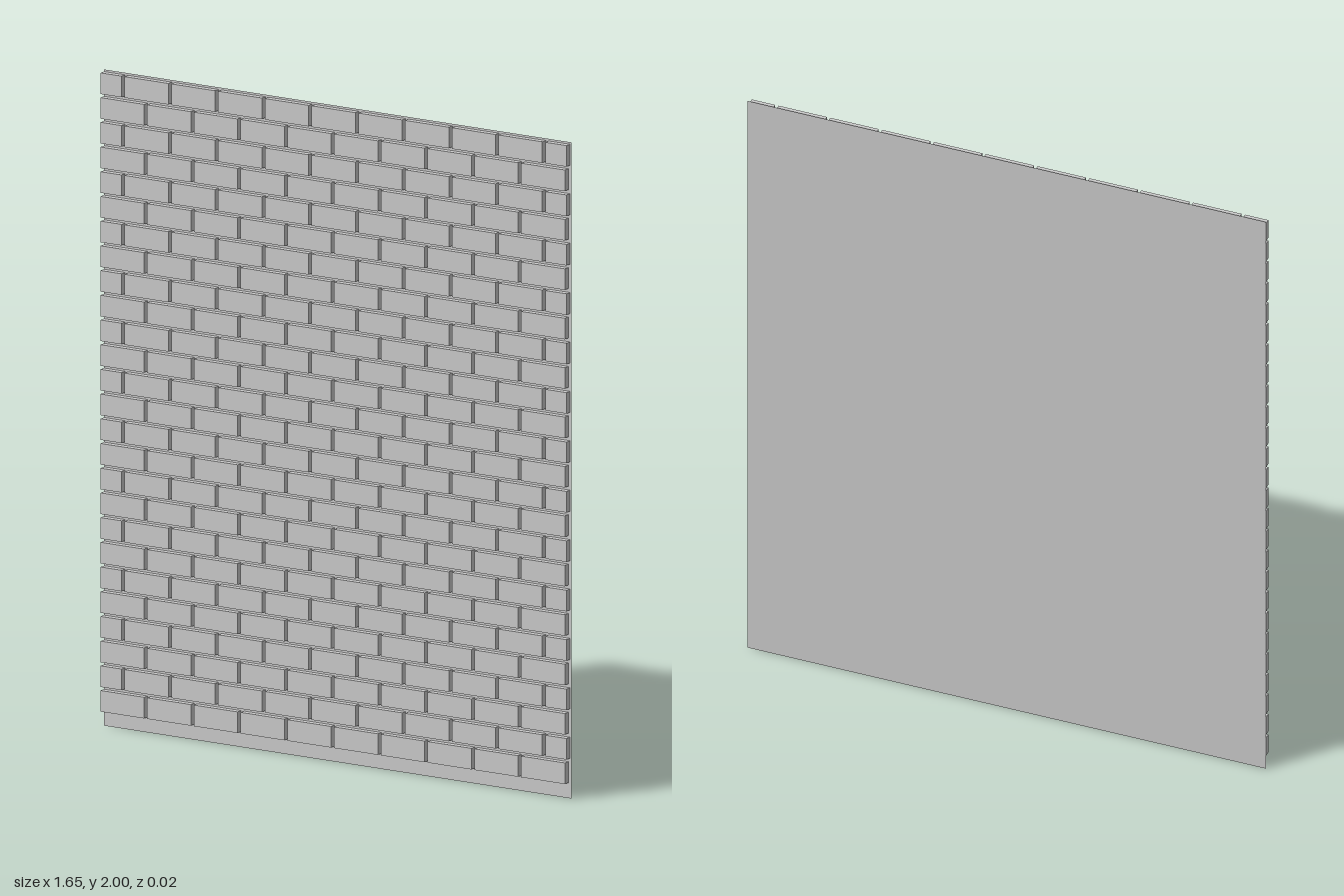
import * as THREE from 'three';
import { mergeGeometries } from 'three/addons/utils/BufferGeometryUtils.js';

const WIDTH = 1.65, HEIGHT = 2, DEPTH = 0.02;
const ROWS = 26, COLUMNS = 10;
const PITCH_X = WIDTH / COLUMNS, PITCH_Y = 0.0753, GAP = 0.011;
const BRICK_W = PITCH_X - GAP, BRICK_H = PITCH_Y - GAP;
const HALF_W = (PITCH_X - 2 * GAP) / 2 + 0.003;
const FIRST_ROW_Y = 0.079;

const material = new THREE.MeshStandardMaterial({ color: 0xcccccc, flatShading: true });

// One brick from its left end, sitting just in front of the mortar sheet
function brick(x, y, width) {
  const thickness = DEPTH - 0.0004;
  return new THREE.BoxGeometry(width, BRICK_H, thickness)
    .translate(x + width / 2, y, 0.0002);
}

// One course: full bricks, or full bricks between two half bricks
function courseGeometry(y, offset) {
  const left = -WIDTH / 2;
  const bricks = [];
  if (!offset) {
    for (let i = 0; i < COLUMNS; i++) bricks.push(brick(left + i * PITCH_X, y, BRICK_W));
  } else {
    const start = left + HALF_W + GAP;
    bricks.push(brick(left, y, HALF_W));
    for (let i = 0; i < COLUMNS - 1; i++) bricks.push(brick(start + i * PITCH_X, y, BRICK_W));
    bricks.push(brick(start + (COLUMNS - 1) * PITCH_X, y, HALF_W));
  }
  return mergeGeometries(bricks);
}

export function createModel() {
  const wall = new THREE.Group();
  wall.name = 'brickWall';

  // Thin mortar sheet behind the bricks
  const sheetMaterial = material.clone();
  sheetMaterial.side = THREE.DoubleSide;
  const mortar = new THREE.Mesh(new THREE.PlaneGeometry(WIDTH, HEIGHT), sheetMaterial);
  mortar.name = 'mortarSheet';
  mortar.position.set(0, HEIGHT / 2, -DEPTH / 2);
  wall.add(mortar);

  // Running bond: every other course is shifted by half a brick
  for (let row = 0; row < ROWS; row++) {
    const course = new THREE.Mesh(courseGeometry(FIRST_ROW_Y + row * PITCH_Y, row % 2 === 1), material);
    course.name = `brickCourse${row + 1}`;
    wall.add(course);
  }
  return wall;
}
